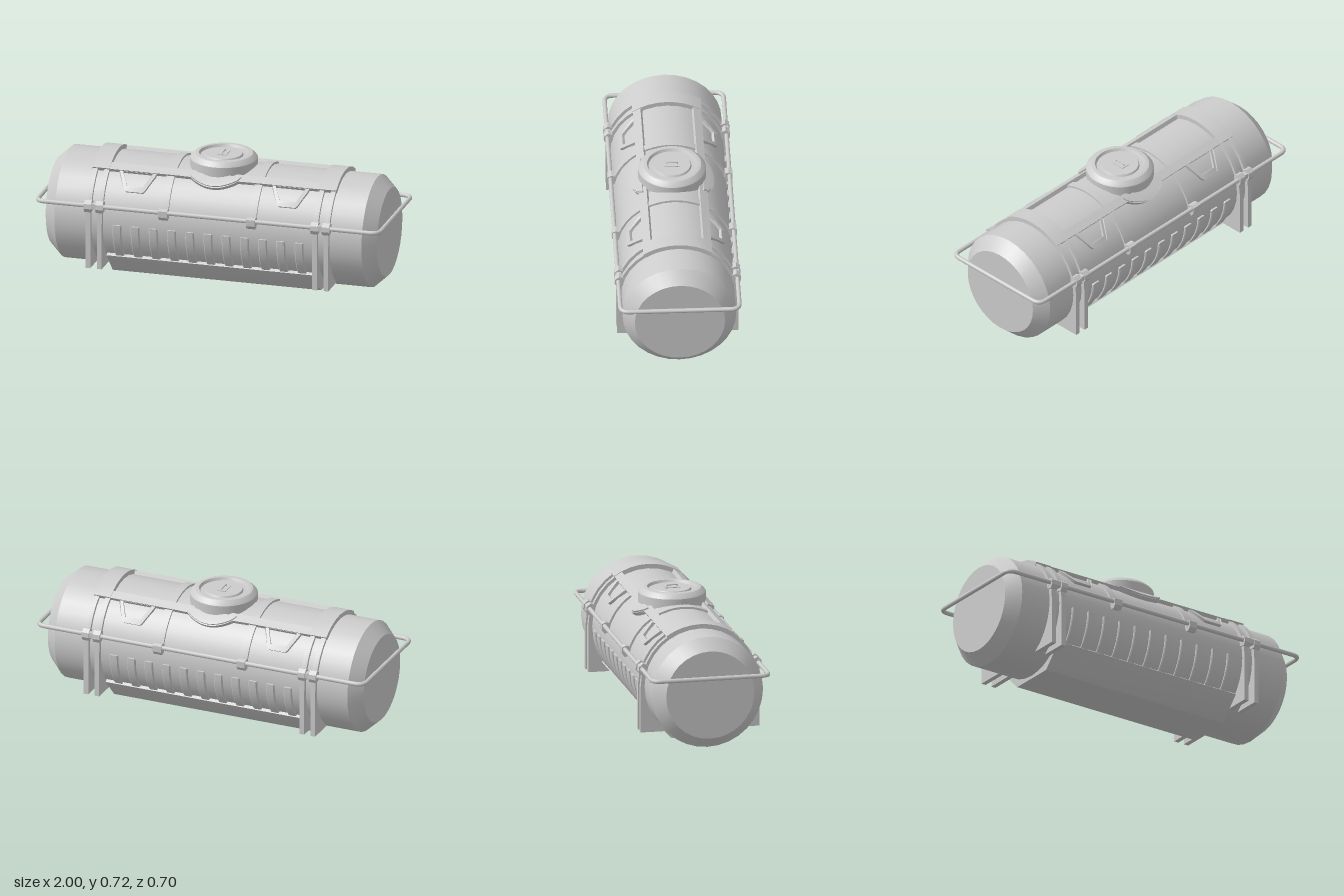
import * as THREE from 'three';
import { toCreasedNormals } from 'three/addons/utils/BufferGeometryUtils.js';

const MAT = new THREE.MeshStandardMaterial({ color: 0xcccccc, side: THREE.DoubleSide });
const CY = 0.332; // height of the tank axis
const R = 0.315; // tank radius

export function createModel() {
  const model = new THREE.Group();
  model.name = 'tank';

  const add = (name, geo, x = 0, y = 0, z = 0, parent = model) => {
    const mesh = new THREE.Mesh(geo, MAT);
    mesh.name = name;
    mesh.position.set(x, y, z);
    parent.add(mesh);
    return mesh;
  };
  const v2 = (pts) => pts.map(([a, b]) => new THREE.Vector2(a, b));
  const crease = (geo, angle = 0.4) => toCreasedNormals(geo, angle);

  // Lathe from [radius, height] pairs, listed bottom to top
  const lathe = (pts, sides) => crease(new THREE.LatheGeometry(v2(pts), sides));

  // Extrude a [z, y] outline along x, centred on x = 0
  const slab = (pts, width, bevel = 0) => {
    const depth = width - 2 * bevel;
    const geo = new THREE.ExtrudeGeometry(new THREE.Shape(v2(pts)), {
      depth, bevelEnabled: bevel > 0, bevelSize: bevel, bevelThickness: bevel, bevelSegments: 1,
    });
    return crease(geo.translate(0, 0, -depth / 2).rotateY(-Math.PI / 2));
  };

  // Points on an arc around the tank axis; angle 0 is the top, positive towards +z
  const arc = (r, from, to, n) => Array.from({ length: n + 1 }, (_, i) => {
    const a = from + (to - from) * i / n;
    return [r * Math.sin(a), CY + r * Math.cos(a)];
  });
  const sector = (r0, r1, from, to, n) => [...arc(r1, from, to, n), ...arc(r0, to, from, n)];

  // Lay a flat [x, z] outline onto the tank as a strip between two radii
  const wrap = (pts, r0, r1, holePts) => {
    const shape = new THREE.Shape(v2(pts.map(([x, z]) => [x, -z])));
    if (holePts) shape.holes.push(new THREE.Path(v2(holePts.map(([x, z]) => [x, -z]))));
    const geo = new THREE.ExtrudeGeometry(shape, { depth: r1 - r0, bevelEnabled: false });
    const p = geo.attributes.position;
    for (let i = 0; i < p.count; i++) {
      const a = Math.asin(-p.getY(i) / r1);
      const r = r0 + p.getZ(i);
      p.setXYZ(i, p.getX(i), CY + r * Math.cos(a), r * Math.sin(a));
    }
    return crease(geo);
  };

  // Tank body with chamfered ends
  const body = lathe([[0, -0.955], [0.25, -0.955], [R, -0.885], [R, 0.885], [0.25, 0.955], [0, 0.955]], 32);
  add('tankBody', body.rotateZ(-Math.PI / 2), 0, CY, 0);

  // Cradle under the tank
  add('cradle', slab([[-0.135, 0], [0.135, 0], [0.145, 0.005], [0.262, 0.128], [0.22, 0.16],
    [-0.22, 0.16], [-0.262, 0.128], [-0.145, 0.005]], 1.2));

  // Raised side ribs
  const rib = slab(sector(0.3, 0.321, 1.59, 2.24, 8), 0.05, 0.005);
  for (const side of [0, Math.PI]) {
    for (let i = -5; i <= 5; i++) add('sideRib', rib, i * 0.105).rotation.y = side;
  }

  // Saddles: paired plates, a cap over the top, clamps holding the guard rail
  const half = [[0.17, 0.07], [0.337, 0.07], [0.337, 0.33], [0.33, 0.4]];
  const mirrored = half.map(([z, y]) => [-z, y]).reverse();
  const plate = slab([...half, ...arc(0.332, 1.33, -1.33, 14), ...mirrored, ...arc(0.3, -2.55, 2.55, 28)], 0.028);
  const cap = slab(sector(0.3, 0.34, -0.6, 0.6, 8), 0.1);
  const clamp = slab([[0.325, 0.465], [0.3, 0.455], [0.3, 0.405], [0.338, 0.398], [0.35, 0.42], [0.347, 0.447]], 0.042);
  const link = new THREE.BoxGeometry(0.11, 0.03, 0.03);
  for (const s of [-1, 1]) {
    const saddle = new THREE.Group();
    saddle.name = 'saddle';
    saddle.position.x = s * 0.653;
    model.add(saddle);
    add('saddleCap', cap, 0, 0, 0, saddle);
    for (const dx of [-0.033, 0.033]) {
      add('saddlePlate', plate, dx, 0, 0, saddle);
      for (const side of [0, Math.PI]) add('railClamp', clamp, dx, 0, 0, saddle).rotation.y = side;
    }
    for (const z of [-0.327, 0.327]) add('clampLink', link, 0, 0.434, z, saddle);
  }

  // Straps over the tank, ending in small clamps
  const strap = slab(sector(0.3, 0.326, -1.37, 1.37, 28), 0.045);
  const strapClamp = slab([[0.325, 0.455], [0.3, 0.45], [0.3, 0.4], [0.33, 0.39], [0.346, 0.41], [0.346, 0.446]], 0.05);
  for (const x of [-0.253, 0.253]) {
    add('strap', strap, x);
    for (const side of [0, Math.PI]) add('strapClamp', strapClamp, x).rotation.y = side;
  }

  // Top rails that swell around the hatch, and the trapezoid steps hanging from them
  const swell = Array.from({ length: 17 }, (_, i) => {
    const a = -0.62 + 1.24 * i / 16;
    return [0.235 * Math.sin(a), 0.235 * Math.cos(a)];
  });
  const rail = wrap([[-0.605, 0.147], [-0.605, 0.19], [-0.205, 0.19], ...swell, [0.205, 0.19], [0.605, 0.19], [0.605, 0.147]], 0.3, 0.337);
  const hatchFlange = wrap([[-0.15, 0.17], ...swell, [0.15, 0.17]], 0.3, 0.345);
  const step = wrap(
    [[-0.108, 0.18], [-0.103, 0.2], [-0.06, 0.268], [-0.05, 0.274], [0.05, 0.274], [0.06, 0.268], [0.103, 0.2], [0.108, 0.18]],
    0.305, 0.331,
    [[-0.085, 0.188], [-0.08, 0.2], [-0.046, 0.254], [0.046, 0.254], [0.08, 0.2], [0.085, 0.188]]);
  for (const side of [0, Math.PI]) {
    add('topRail', rail).rotation.y = side;
    add('hatchFlange', hatchFlange).rotation.y = side;
    for (const x of [-0.44, 0.44]) add('step', step, x).rotation.y = side;
  }

  // Hatch with a recessed lid and a raised centre disc
  add('hatch', lathe([[0.188, 0.5], [0.188, 0.677], [0.182, 0.686], [0.162, 0.703], [0.155, 0.705], [0.138, 0.705],
    [0.13, 0.69], [0.108, 0.69], [0.102, 0.7], [0, 0.7]], 40));
  add('handlePlate', new THREE.BoxGeometry(0.05, 0.008, 0.085), 0, 0.7, 0);
  const staple = new THREE.CurvePath();
  const corners = [[0.7, -0.032], [0.713, -0.028], [0.713, 0.028], [0.7, 0.032]].map(([y, z]) => new THREE.Vector3(0, y, z));
  for (let i = 0; i < 3; i++) staple.add(new THREE.LineCurve3(corners[i], corners[i + 1]));
  add('hatchHandle', new THREE.TubeGeometry(staple, 24, 0.004, 6));

  // Guard rail: a rounded rectangle of tube around the tank
  const X = 0.987, Z = 0.33, C = 0.05;
  const loop = new THREE.CurvePath();
  const at = (x, z) => new THREE.Vector3(x, 0, z);
  const ring = [[X, Z], [-X, Z], [-X, -Z], [X, -Z]];
  ring.forEach(([x, z], i) => {
    const [nx, nz] = ring[(i + 1) % 4];
    const [px, pz] = ring[(i + 3) % 4];
    const toward = (tx, tz) => at(x + C * Math.sign(tx - x), z + C * Math.sign(tz - z));
    const out = toward(nx, nz);
    loop.add(new THREE.QuadraticBezierCurve3(toward(px, pz), at(x, z), out));
    loop.add(new THREE.LineCurve3(out, at(nx + C * Math.sign(x - nx), nz + C * Math.sign(z - nz))));
  });
  add('guardRail', new THREE.TubeGeometry(loop, 320, 0.0125, 10, true), 0, 0.434, 0);

  return model;
}
